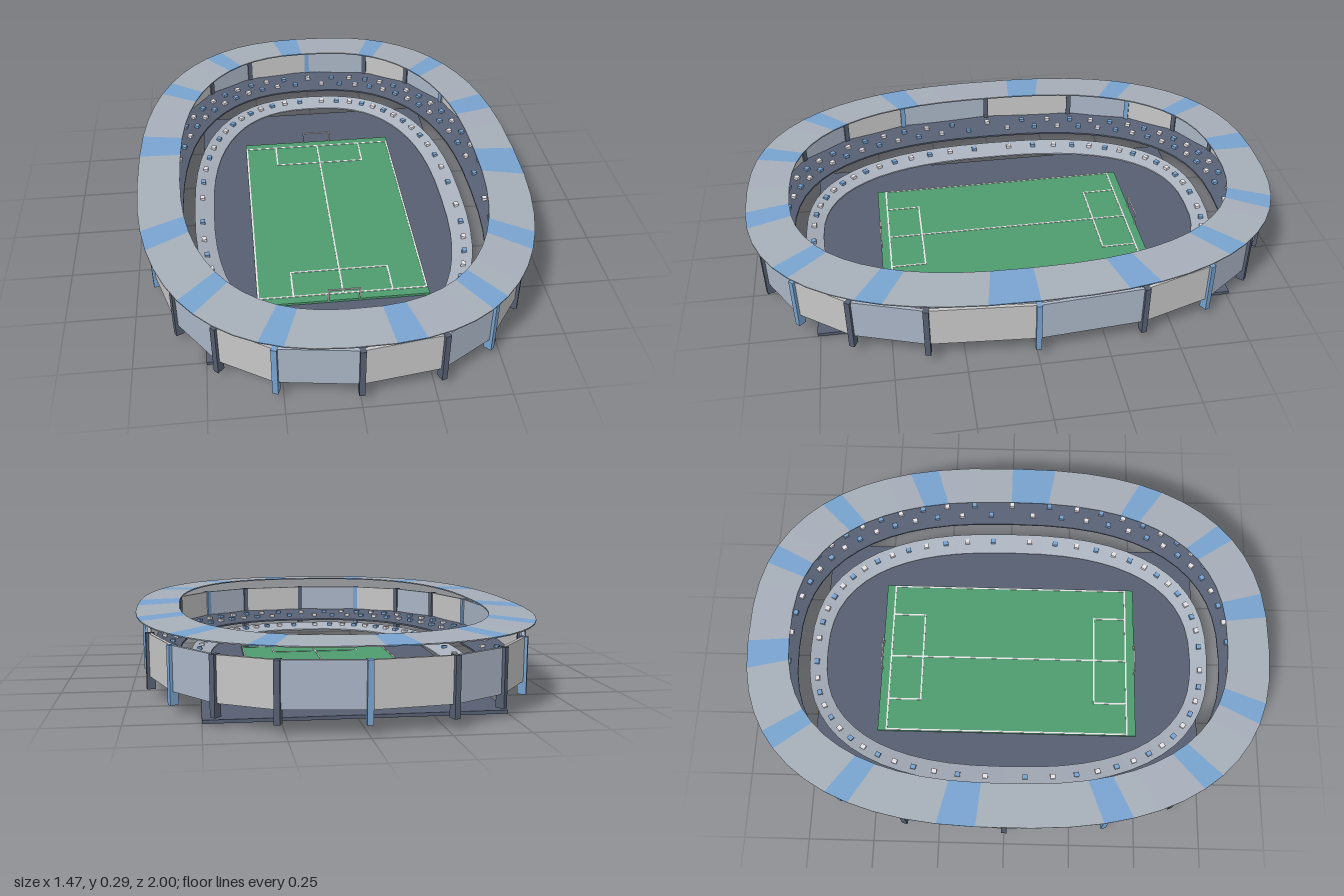
import * as THREE from 'three';

const mat = (name, color) => {
  const m = new THREE.MeshStandardMaterial({ color });
  m.name = name;
  return m;
};

export function createModel() {
  const slate = mat('slate', 0x565f72);
  const grass = mat('grass green', 0x4f9c70);
  const white = mat('line white', 0xe6e2e6);
  const roofGrey = mat('roof grey', 0xa6aeb9);
  const blue = mat('stripe blue', 0x78a3cf);
  const concrete = mat('panel concrete', 0xc6c6c6);
  const blueGrey = mat('panel blue grey', 0xaab5c5);
  const stand = mat('stand grey', 0xa9b1bd);

  const model = new THREE.Group();
  model.name = 'stadium';

  const group = (name) => {
    const g = new THREE.Group();
    g.name = name;
    model.add(g);
    return g;
  };
  const box = (parent, name, m, size, pos, rotY = 0) => {
    const mesh = new THREE.Mesh(new THREE.BoxGeometry(...size), m);
    mesh.name = name;
    mesh.position.set(...pos);
    mesh.rotation.y = rotY;
    parent.add(mesh);
    return mesh;
  };

  // Rounded oval plan: a superellipse with half axes a (x) and b (z)
  const bend = (v) => Math.sign(v) * Math.abs(v) ** 0.8;
  const oval = (a, b, y, t) => [a * bend(Math.cos(t)), y, b * bend(Math.sin(t))];
  const heading = (a, b, t, d) => {
    const p = oval(a, b, 0, t - d), q = oval(a, b, 0, t + d);
    return Math.atan2(p[2] - q[2], q[0] - p[0]);
  };

  // Sweeps a closed profile [a, b, y] (outer top, inner top, inner bottom, outer bottom) round the oval
  const ring = (name, m, profile, segments, keep = () => true) => {
    const pos = [];
    for (let i = 0; i < segments; i++) {
      if (!keep(i)) continue;
      const t0 = (i / segments) * Math.PI * 2, t1 = ((i + 1) / segments) * Math.PI * 2;
      profile.forEach((p, k) => {
        const q = profile[(k + 1) % profile.length];
        const a = oval(...p, t0), b = oval(...q, t0), c = oval(...q, t1), d = oval(...p, t1);
        pos.push(...a, ...b, ...c, ...a, ...c, ...d);
      });
    }
    const g = new THREE.BufferGeometry();
    g.setAttribute('position', new THREE.Float32BufferAttribute(pos, 3));
    g.computeVertexNormals();
    const mesh = new THREE.Mesh(g, m);
    mesh.name = name;
    model.add(mesh);
  };

  // Ground slab and pitch
  box(model, 'groundSlab', slate, [1, 0.012, 1.52], [0, 0.006, 0]);
  box(model, 'pitch', grass, [0.63, 0.009, 1.03], [0, 0.0165, 0]);

  // Pitch markings
  const lines = group('pitchMarkings');
  const W = 0.006, LY = 0.0215;
  const line = (x, z, w, d) => box(lines, 'marking', white, [w, 0.002, d], [x, LY, z]);
  line(0, 0, W, 0.96);
  for (const s of [-1, 1]) {
    line(s * 0.31, 0, W, 0.966);
    line(0, s * 0.48, 0.626, W);
    line(0, s * 0.35, 0.37, W);
    for (const x of [-0.183, 0.183]) line(x, s * 0.415, W, 0.13);
  }

  // Goals
  for (const s of [-1, 1]) {
    const goal = group(s > 0 ? 'frontGoal' : 'backGoal');
    for (const x of [-0.057, 0.057]) box(goal, 'post', white, [0.005, 0.05, 0.005], [x, 0.043, s * 0.512]);
    box(goal, 'crossbar', white, [0.119, 0.005, 0.005], [0, 0.068, s * 0.512]);
  }

  // Lower and upper seating tiers
  ring('lowerTier', stand,
    [[0.535, 0.8, 0.082], [0.46, 0.735, 0.058], [0.46, 0.735, 0.052], [0.535, 0.8, 0.076]], 56);
  ring('upperTier', slate,
    [[0.695, 0.955, 0.125], [0.58, 0.845, 0.09], [0.58, 0.845, 0.083], [0.695, 0.955, 0.118]], 56);

  // Seats scattered evenly along each tier
  const seats = group('seats');
  const seatRow = (a, b, y, count, shift) => {
    for (let i = 0; i < count; i++) {
      const t = ((i + shift) / count) * Math.PI * 2;
      box(seats, 'seat', i % 2 ? blue : white, [0.02, 0.012, 0.018], oval(a, b, y, t), heading(a, b, t, 0.05));
    }
  };
  seatRow(0.505, 0.772, 0.076, 56, 0.5);
  seatRow(0.615, 0.88, 0.106, 56, 0.5);
  seatRow(0.655, 0.915, 0.117, 56, 0);

  // Outer wall: flat panels between columns
  const wall = group('outerWall');
  const N = 20, A = 0.7, B = 0.967;
  for (let i = 0; i < N; i++) {
    const t = (i / N) * Math.PI * 2, t1 = ((i + 1) / N) * Math.PI * 2;
    const p = oval(A, B, 0, t), q = oval(A, B, 0, t1);
    const dx = q[0] - p[0], dz = q[2] - p[2];
    box(wall, 'wallPanel', i % 2 ? blueGrey : concrete, [Math.hypot(dx, dz) * 0.97, 0.153, 0.012],
      [(p[0] + q[0]) / 2, 0.157, (p[2] + q[2]) / 2], Math.atan2(-dz, dx));
    box(wall, 'column', i % 3 ? slate : blue, [0.02, 0.2, 0.03], [p[0], 0.135, p[2]], heading(A, B, t, 0.1));
  }

  // Roof ring with every fourth section striped
  const roof = [[0.735, 1, 0.281], [0.575, 0.84, 0.289], [0.575, 0.84, 0.284], [0.735, 1, 0.277]];
  ring('roof', roofGrey, roof, 55, (i) => i % 4 !== 0);
  ring('roofStripes', blue, roof, 55, (i) => i % 4 === 0);

  return model;
}
